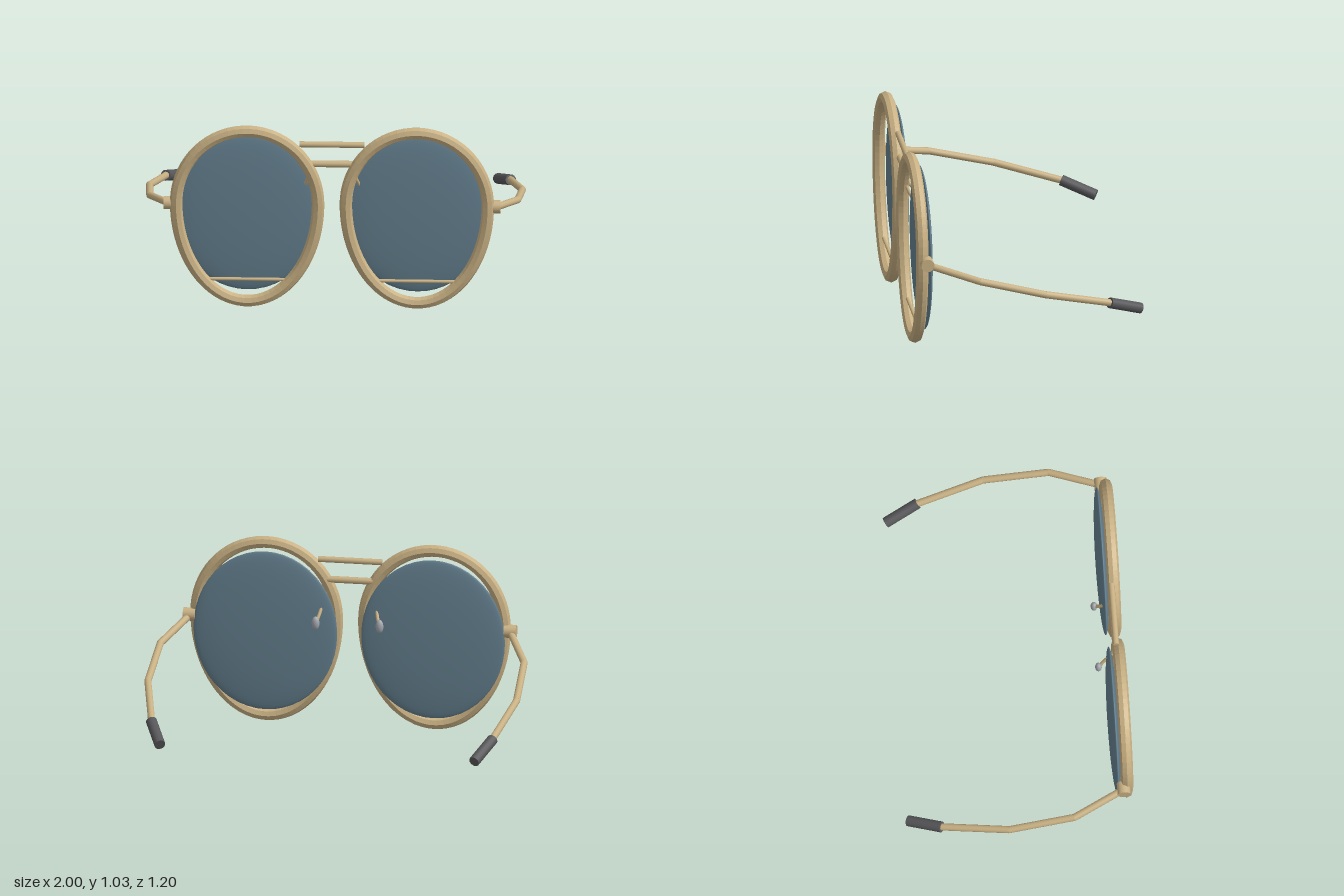
import * as THREE from 'three';

const frameMat = new THREE.MeshStandardMaterial({ color: 0xc8b083 });
frameMat.name = 'brushed gold';
const lensMat = new THREE.MeshStandardMaterial({ color: 0x64808f });
lensMat.name = 'blue lens';
const tipMat = new THREE.MeshStandardMaterial({ color: 0x57575a });
tipMat.name = 'dark rubber';
const padMat = new THREE.MeshStandardMaterial({ color: 0xa3a8ae });
padMat.name = 'grey pad';

const V = (x, y, z) => new THREE.Vector3(x, y, z);

// Egg-shaped closed outline: shorter above its widest line, longer below
class RimCurve extends THREE.Curve {
  constructor(cx) {
    super();
    this.cx = cx;
  }
  getPoint(t, target = new THREE.Vector3()) {
    const a = t * Math.PI * 2;
    const s = Math.sin(a);
    return target.set(this.cx + 0.373 * Math.cos(a), 0.588 + s * (s > 0 ? 0.41 : 0.555), 0.567);
  }
}

function add(parent, name, geometry, material) {
  const mesh = new THREE.Mesh(geometry, material);
  mesh.name = name;
  parent.add(mesh);
  return mesh;
}

// Straight round rod between two points
function rod(parent, name, a, b, radius, material, sides = 12) {
  const mesh = add(parent, name, new THREE.CylinderGeometry(radius, radius, a.distanceTo(b), sides), material);
  mesh.position.copy(a).add(b).multiplyScalar(0.5);
  mesh.quaternion.setFromUnitVectors(V(0, 1, 0), b.clone().sub(a).normalize());
  return mesh;
}

// Ellipsoid
function blob(parent, name, pos, radii, material, segments) {
  const mesh = add(parent, name, new THREE.SphereGeometry(1, segments, segments / 2), material);
  mesh.position.copy(pos);
  mesh.scale.copy(radii);
  return mesh;
}

// Everything belonging to one eye; s is +1 for left, -1 for right
function createSide(s) {
  const side = new THREE.Group();
  side.name = s > 0 ? 'leftSide' : 'rightSide';
  const cx = 0.446 * s;

  // Faceted rim and flattened lens
  const rim = new THREE.TubeGeometry(new RimCurve(cx), 72, 0.033, 8, true).toNonIndexed();
  rim.computeVertexNormals();
  add(side, 'rim', rim, frameMat);
  blob(side, 'lens', V(cx, 0.52, 0.52), V(0.382, 0.442, 0.029), lensMat, 48);

  // Thin bar across the lower part of the rim
  rod(side, 'lowerLensBar', V(cx - 0.2, 0.155, 0.565), V(cx + 0.2, 0.155, 0.565), 0.009, frameMat);

  // Nose pad on a small curved arm
  const armPath = new THREE.CatmullRomCurve3([
    V(0.115 * s, 0.76, 0.56), V(0.14 * s, 0.69, 0.53), V(0.155 * s, 0.635, 0.49), V(0.167 * s, 0.6, 0.465),
  ]);
  add(side, 'nosePadArm', new THREE.TubeGeometry(armPath, 12, 0.009, 8), frameMat);
  blob(side, 'nosePad', V(0.17 * s, 0.597, 0.462), V(0.021, 0.037, 0.018), padMat, 16);

  // Hinge barrel
  rod(side, 'hinge', V(0.82 * s, 0.578, 0.547), V(0.885 * s, 0.578, 0.547), 0.035, frameMat, 20);

  // Temple arm in straight runs with small joints
  const path = [
    V(0.86 * s, 0.568, 0.53), V(0.967 * s, 0.507, 0.28),
    V(0.98 * s, 0.42, -0.065), V(0.905 * s, 0.327, -0.42),
  ];
  for (let i = 0; i < path.length - 1; i++) {
    rod(side, 'templeArm', path[i], path[i + 1], 0.019, frameMat);
    if (i > 0) blob(side, 'templeJoint', path[i], V(0.019, 0.019, 0.019), frameMat, 12);
  }
  rod(side, 'templeTip', V(0.907 * s, 0.328, -0.415), V(0.835 * s, 0.262, -0.588), 0.029, tipMat, 14);
  return side;
}

export function createModel() {
  const model = new THREE.Group();
  model.name = 'glasses';
  for (const s of [1, -1]) model.add(createSide(s));

  // Double bridge
  rod(model, 'upperBridge', V(-0.17, 0.923, 0.555), V(0.17, 0.923, 0.555), 0.016, frameMat);
  rod(model, 'lowerBridge', V(-0.12, 0.813, 0.555), V(0.12, 0.813, 0.555), 0.018, frameMat);
  return model;
}
